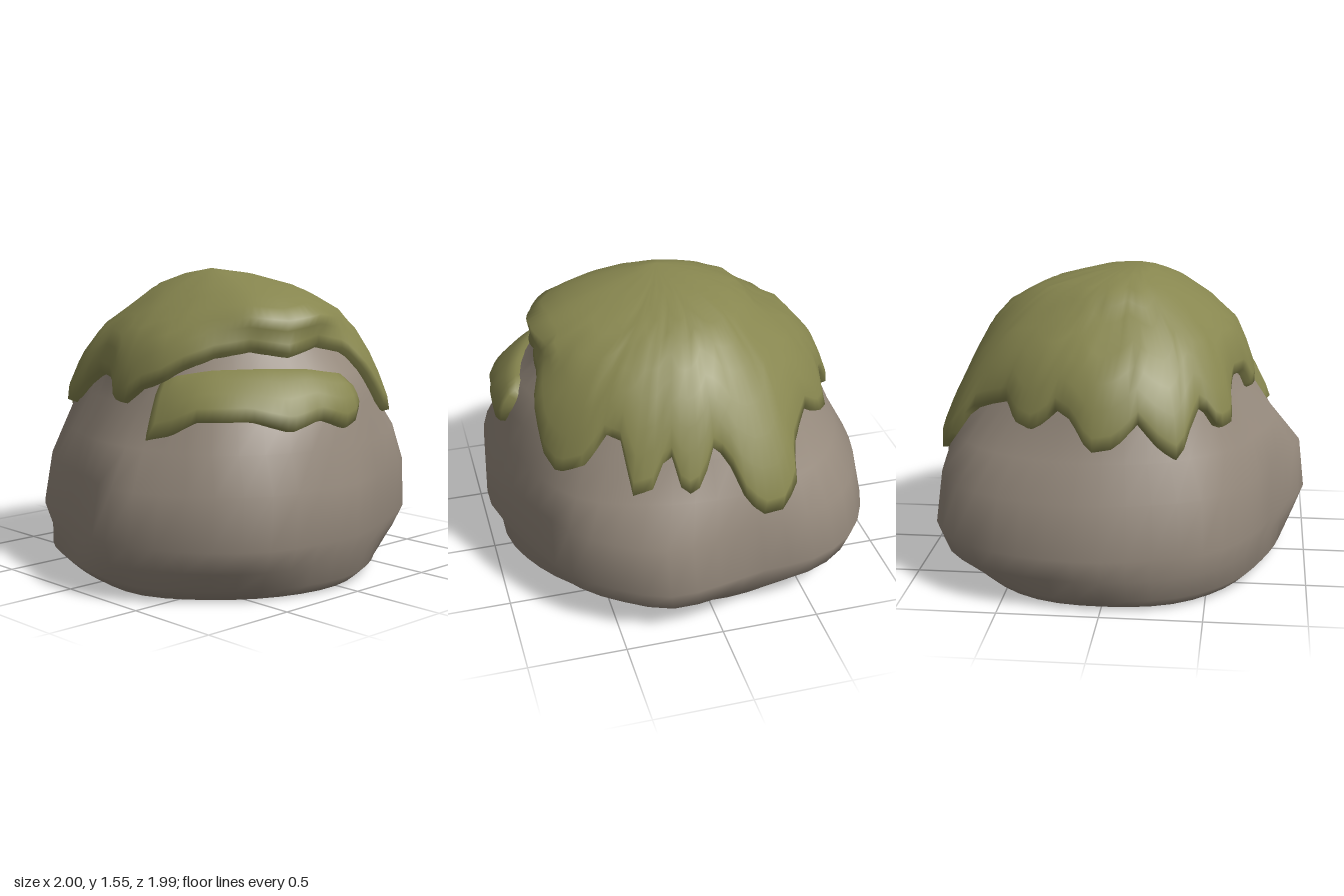
import * as THREE from 'three';
import { mergeVertices } from 'three/addons/utils/BufferGeometryUtils.js';

// Radii at equal angle steps, from +x round to +z, from the ground to the crown
const BASE = [0.86, 0.87, 0.87, 0.87, 0.79, 0.77, 0.82, 0.87, 0.87, 0.88, 0.84, 0.79, 0.76, 0.75, 0.77, 0.81];
const PLAN = [1.0, 1.02, 1.07, 1.07, 1.05, 1.03, 0.91, 0.86, 0.89, 0.935, 0.98, 0.98,
  1.0, 1.02, 1.05, 1.07, 1.03, 0.95, 0.97, 1.03, 1.01, 0.995, 0.95, 0.95];
const FLANK = [0.92, 0.96, 0.96, 0.87, 0.81, 0.77, 0.82, 0.84, 0.85, 0.87, 0.9, 0.89, 0.86, 0.88, 0.93, 0.9];
const SHOULDER = [0.9, 0.93, 0.89, 0.75, 0.67, 0.66, 0.74, 0.79, 0.78, 0.75, 0.75, 0.8, 0.77, 0.79, 0.82, 0.85];
const LEDGE = [0.81, 0.78, 0.73, 0.67, 0.63, 0.61, 0.67, 0.71, 0.72, 0.69, 0.68, 0.71, 0.71, 0.73, 0.76, 0.79];
const UPPER = [0.68, 0.65, 0.62, 0.6, 0.57, 0.54, 0.56, 0.6, 0.59, 0.57, 0.57, 0.6, 0.63, 0.64, 0.67, 0.69];
const DOME = [0.7, 0.67, 0.56, 0.49, 0.45, 0.42, 0.43, 0.42, 0.4, 0.42, 0.44, 0.5, 0.54, 0.55, 0.57, 0.63];
const CROWN = [0.5, 0.48, 0.4, 0.33, 0.3, 0.29, 0.3, 0.32, 0.33, 0.33, 0.33, 0.36, 0.36, 0.36, 0.38, 0.44];
const TOP = 1.49;

// Rings of the boulder: height, radii, scale, centre x, centre z
const RINGS = [
  [0, BASE, 1, 0, 0.01],
  [0.06, BASE, 1.08, 0, 0.01],
  [0.16, PLAN, 0.95, -0.01, 0],
  [0.28, PLAN, 1.0, 0, 0],
  [0.54, PLAN, 0.97, 0.025, 0],
  [0.72, FLANK, 1, 0, 0],
  [0.9, SHOULDER, 1, 0, 0],
  [1.05, LEDGE, 1, 0, 0],
  [1.2, UPPER, 1, 0, 0],
  [1.3, DOME, 1, 0, 0],
  [1.4, CROWN, 1, 0, 0],
  [1.46, CROWN, 0.47, 0.02, 0.04],
  [TOP, CROWN, 0, 0.05, 0.09],
];

// Smooth periodic interpolation of a radius list
function radiusAt(list, angle) {
  const n = list.length;
  const t = (((angle / (Math.PI * 2)) % 1) + 1) % 1 * n;
  const i = Math.floor(t), f = t - i;
  const [a, b, c, d] = [-1, 0, 1, 2].map((k) => list[(i + k + n) % n]);
  return b + 0.5 * f * (c - a + f * (2 * a - 5 * b + 4 * c - d + f * (3 * (b - c) + d - a)));
}

// Point on the boulder at an angle and height, pushed out by lift
function surface(angle, y, lift = 0) {
  let i = 0;
  while (i < RINGS.length - 2 && y > RINGS[i + 1][0]) i++;
  const [p, q] = [RINGS[i], RINGS[i + 1]].map(([, list, s, cx, cz]) => {
    const r = radiusAt(list, angle) * s;
    return new THREE.Vector2(cx + r * Math.cos(angle), cz + r * Math.sin(angle));
  });
  p.lerp(q, THREE.MathUtils.clamp((y - RINGS[i][0]) / (RINGS[i + 1][0] - RINGS[i][0]), 0, 1));
  const point = new THREE.Vector3(p.x, y, p.y);
  const out = point.clone().sub(new THREE.Vector3(0, 0.6, 0)).normalize();
  return point.addScaledVector(out, lift);
}

// Skin a grid of points: u runs round the boulder, v runs upward
function skin(nu, nv, pointAt) {
  const pos = [], index = [];
  for (let v = 0; v <= nv; v++)
    for (let u = 0; u <= nu; u++) pos.push(...pointAt(u, v).toArray());
  for (let v = 0; v < nv; v++)
    for (let u = 0; u < nu; u++) {
      const a = v * (nu + 1) + u, b = a + nu + 1;
      index.push(a, b, a + 1, a + 1, b, b + 1);
    }
  let g = new THREE.BufferGeometry();
  g.setAttribute('position', new THREE.Float32BufferAttribute(pos, 3));
  g.setIndex(index);
  g = mergeVertices(g, 1e-4);
  g.computeVertexNormals();
  return g;
}

// Linear lookup in [degrees, height] pairs
function lookup(pairs, deg) {
  let i = 0;
  while (i < pairs.length - 2 && deg > pairs[i + 1][0]) i++;
  const [a, b] = [pairs[i], pairs[i + 1]];
  return THREE.MathUtils.mapLinear(deg, a[0], b[0], a[1], b[1]);
}

// Ragged lower edge of the moss cap
const CAP_RIM = [
  [0, 1.18], [15, 1.14], [30, 1.17], [45, 1.14], [58, 1.08], [66, 1.02], [75, 0.98], [84, 0.9], [92, 0.9],
  [97, 1.0], [112, 1.01], [122, 0.94], [128, 0.84], [137, 0.83], [143, 0.96], [149, 0.88], [155, 0.72],
  [161, 0.78], [168, 0.9], [176, 0.79], [184, 0.77], [191, 0.9], [198, 0.94], [206, 0.84], [214, 0.86],
  [222, 0.94], [232, 0.9], [239, 0.86], [243, 0.72], [249, 0.62], [256, 0.62], [261, 0.72], [265, 0.9],
  [270, 0.96], [275, 0.8], [281, 0.76], [286, 0.98], [291, 0.8], [297, 0.77], [303, 1.0], [309, 1.02],
  [315, 0.86], [323, 0.8], [330, 0.85], [337, 0.98], [346, 1.14], [360, 1.18],
];
// Lower and upper edges of the side moss patch
const PATCH_LOW = [[-8, 0.95], [-4, 0.83], [2, 0.8], [12, 0.86], [22, 0.81], [34, 0.87], [50, 0.86], [58, 0.79], [69, 0.75]];
const PATCH_HIGH = [[-8, 0.98], [-3, 1.06], [10, 1.09], [25, 1.1], [45, 1.09], [60, 1.06], [69, 1.0]];

export function createModel() {
  const model = new THREE.Group();
  const stone = new THREE.MeshStandardMaterial({ color: 0x968a7d });
  stone.name = 'warm grey stone';
  const green = new THREE.MeshStandardMaterial({ color: 0x87864f });
  green.name = 'moss green';
  const add = (name, geometry, material) => {
    const mesh = new THREE.Mesh(geometry, material);
    mesh.name = name;
    model.add(mesh);
  };

  // Boulder, with a flat underside closing to a point
  const around = 48;
  add('boulder', skin(around, RINGS.length, (u, v) => {
    if (v === 0) return new THREE.Vector3(0, 0, 0);
    return surface((u / around) * Math.PI * 2, RINGS[v - 1][0]);
  }), stone);

  // Moss cap: [share of the way from rim to top, thickness]
  const rows = [[0, -0.03], [0.005, 0.035], [0.09, 0.055], [0.25, 0.06], [0.4, 0.06], [0.55, 0.06],
    [0.7, 0.06], [0.8, 0.06], [0.88, 0.06], [0.95, 0.06], [1, 0.06]];
  const capSteps = 120;
  add('mossCap', skin(capSteps, rows.length - 1, (u, v) => {
    const deg = (u / capSteps) * 360;
    const rim = lookup(CAP_RIM, deg);
    return surface(THREE.MathUtils.degToRad(deg), rim + (TOP - rim) * rows[v][0], rows[v][1]);
  }), green);

  // Moss patch on the side ledge, with its edges tucked into the stone
  const patchRows = [[0, -0.03], [0.02, 0.025], [0.25, 0.04], [0.5, 0.045], [0.75, 0.04], [0.96, 0.02], [1, -0.03]];
  const patchSteps = 32;
  add('mossPatch', skin(patchSteps, patchRows.length - 1, (u, v) => {
    const deg = -8 + (77 * u) / patchSteps;
    const low = lookup(PATCH_LOW, deg), high = lookup(PATCH_HIGH, deg);
    const lift = u === 0 || u === patchSteps ? -0.03 : patchRows[v][1];
    return surface(THREE.MathUtils.degToRad(deg), low + (high - low) * patchRows[v][0], lift);
  }), green);

  return model;
}
